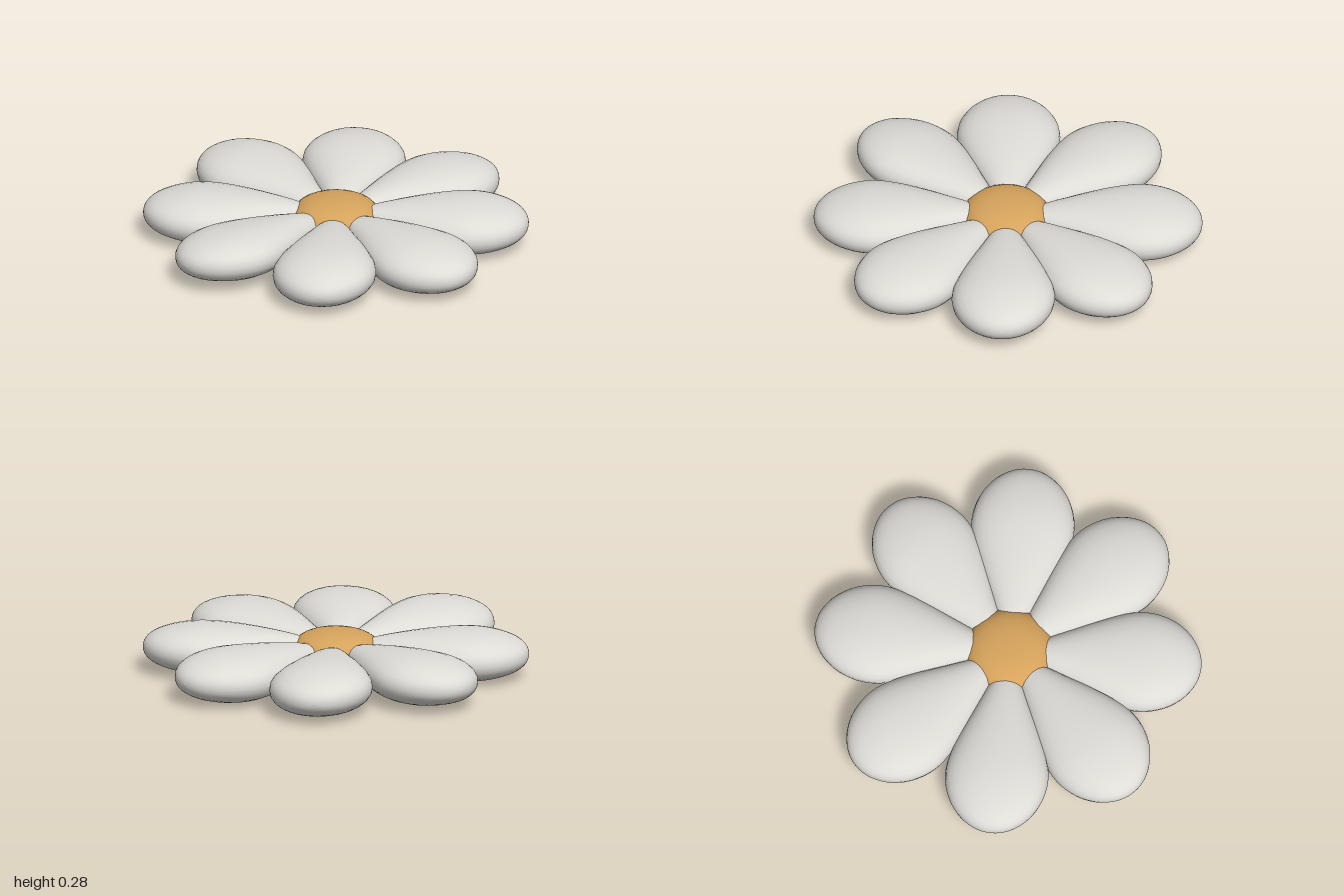
import * as THREE from 'three';

// Petal profile: distance from the centre, half width, half thickness
const PROFILE = [
  [0.10, 0.0, 0.0], [0.13, 0.05, 0.05], [0.20, 0.09, 0.075], [0.32, 0.142, 0.098],
  [0.45, 0.2, 0.115], [0.58, 0.25, 0.126], [0.70, 0.278, 0.13], [0.80, 0.272, 0.126],
  [0.90, 0.236, 0.11], [0.98, 0.175, 0.086], [1.03, 0.105, 0.055], [1.05, 0.05, 0.027], [1.056, 0, 0],
].map((p) => new THREE.Vector3(...p));

// Each petal: angle from +x towards +z (degrees), length scale, tip lift, roll
const PETALS = [
  [20.4, 1.0, 0.0, 0.0], [65.5, 0.985, 0.0, 0.03], [111, 1.0, 0.02, 0.1], [156, 0.99, 0.0, 0.02],
  [202, 1.005, 0.01, -0.03], [248.2, 1.005, 0.0, 0.03], [292.6, 1.0, 0.0, -0.03], [336.2, 0.99, 0.008, 0.03],
];

// Loft of rounded oval sections along the petal
function petalGeometry() {
  const rows = 36, sides = 28, pos = [], index = [];
  const round = (v) => Math.sign(v) * Math.abs(v) ** 0.92;
  const sections = new THREE.CatmullRomCurve3(PROFILE).getPoints(rows);
  sections.forEach((s, i) => {
    for (let j = 0; j < sides; j++) {
      const a = (j / sides) * Math.PI * 2;
      pos.push(s.x, s.z * round(Math.sin(a)), s.y * round(Math.cos(a)));
      if (i === rows) continue;
      const k = (j + 1) % sides, r = i * sides, n = r + sides;
      index.push(r + j, n + j, r + k, r + k, n + j, n + k);
    }
  });
  const g = new THREE.BufferGeometry();
  g.setAttribute('position', new THREE.Float32BufferAttribute(pos, 3));
  g.setIndex(index);
  g.computeVertexNormals();
  return g;
}

export function createModel() {
  const white = new THREE.MeshStandardMaterial({ color: 0xdedcd7 });
  white.name = 'petal white';
  const gold = new THREE.MeshStandardMaterial({ color: 0xd6a35c });
  gold.name = 'centre gold';

  const flower = new THREE.Group();
  flower.name = 'flower';

  // Ring of eight puffy petals
  const geometry = petalGeometry();
  PETALS.forEach(([deg, length, lift, roll], i) => {
    const petal = new THREE.Mesh(geometry, white);
    petal.name = `petal${i + 1}`;
    petal.scale.x = length;
    petal.rotation.set(roll, -THREE.MathUtils.degToRad(deg), lift, 'YZX');
    petal.position.y = 0.135;
    flower.add(petal);
  });

  // Cushion-shaped centre
  const outline = [];
  for (let i = 0; i <= 16; i++) {
    const a = -Math.PI / 2 + (i / 16) * Math.PI;
    const y = Math.sign(Math.sin(a)) * Math.abs(Math.sin(a)) ** 0.8 * 0.12;
    outline.push(new THREE.Vector2(Math.max(0, Math.cos(a)) ** 0.8 * 0.24, y));
  }
  const centre = new THREE.Mesh(new THREE.LatheGeometry(outline, 24), gold);
  centre.name = 'centre';
  centre.position.y = 0.13;
  flower.add(centre);

  return flower;
}
